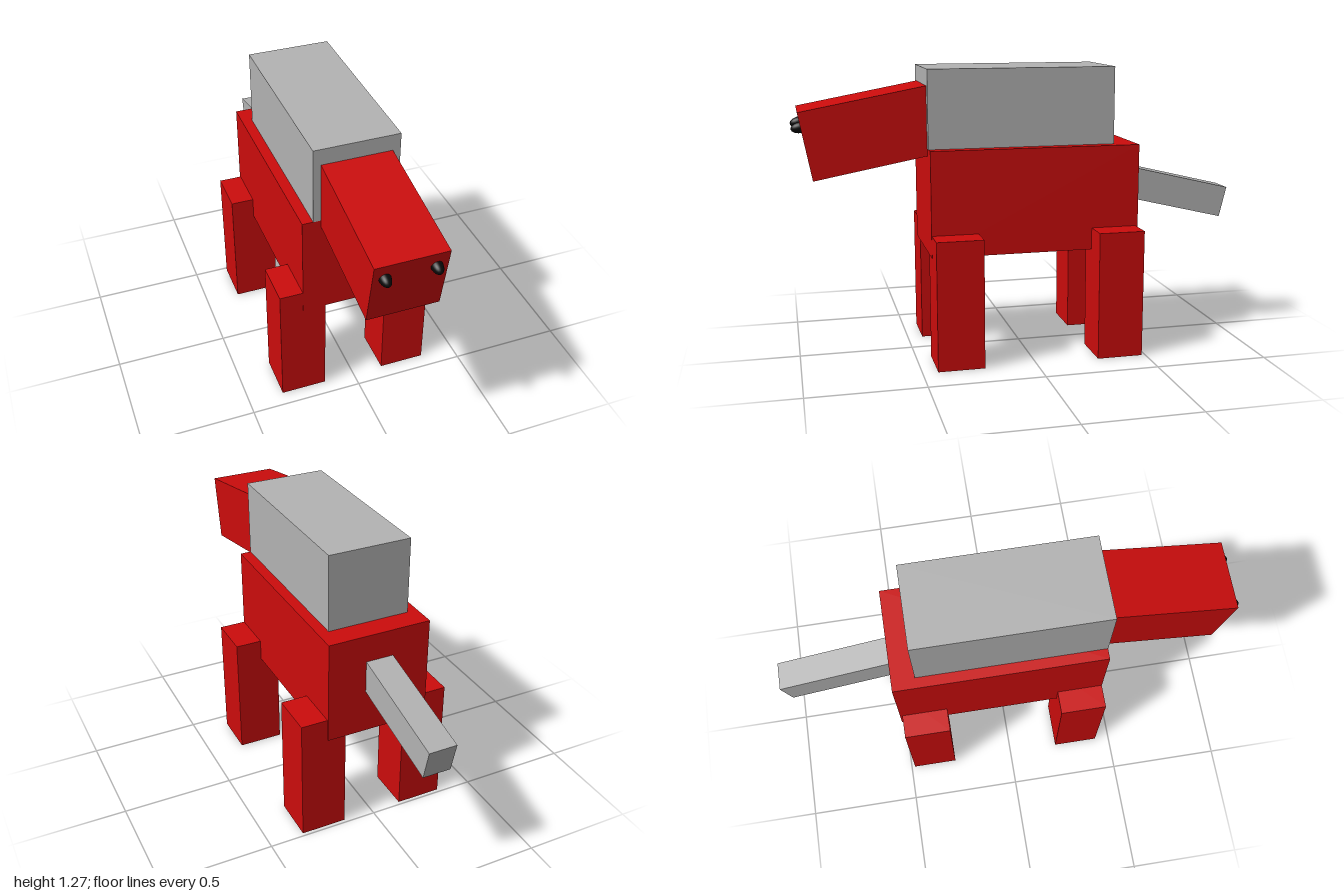
import * as THREE from 'three';

export function createModel() {
  const model = new THREE.Group();
  const material = (name, color) => {
    const m = new THREE.MeshStandardMaterial({ color });
    m.name = name;
    return m;
  };
  const red = material('red', 0xcc0c0c);
  const grey = material('grey', 0xb3b3b3);
  const black = material('black', 0x080808);

  const add = (name, geometry, mat, x, y, z) => {
    const mesh = new THREE.Mesh(geometry, mat);
    mesh.name = name;
    mesh.position.set(x, y, z);
    model.add(mesh);
    return mesh;
  };

  // Box given by its lower and upper corners
  const block = (name, mat, [x0, y0, z0], [x1, y1, z1]) =>
    add(name, new THREE.BoxGeometry(x1 - x0, y1 - y0, z1 - z0), mat,
      (x0 + x1) / 2, (y0 + y1) / 2, (z0 + z1) / 2);

  // Tilted box whose outer end face is centred at (x, y, z); dir is +1 forward, -1 back
  const limb = (name, mat, width, height, length, x, y, z, dir, tilt) => {
    const geometry = new THREE.BoxGeometry(width, height, length);
    geometry.translate(0, 0, -dir * length / 2);
    add(name, geometry, mat, x, y, z).rotation.x = dir * tilt;
  };

  // Body and the pack on its back
  block('body', red, [-0.24, 0.47, -0.494], [0.224, 0.932, 0.434]);
  block('backPack', grey, [-0.193, 0.932, -0.392], [0.175, 1.272, 0.435]);

  // Legs
  for (const [side, sx] of [['left', 1], ['right', -1]]) {
    for (const [end, z0] of [['Front', 0.229], ['Back', -0.484]]) {
      const x = sx * 0.241;
      block(side + end + 'Leg', red, [x - 0.102, 0, z0], [x + 0.102, 0.567, z0 + 0.204]);
    }
  }

  // Drooping head and tail
  limb('head', red, 0.302, 0.295, 0.6, -0.009, 0.955, 0.944, 1, 0.185);
  limb('tail', grey, 0.124, 0.142, 0.55, -0.009, 0.62, -0.982, -1, 0.237);

  // Eyes bulging from the face
  for (const [name, x] of [['leftEye', 0.094], ['rightEye', -0.111]]) {
    const eye = add(name, new THREE.SphereGeometry(0.024, 24, 16), black, x, 1.034, 0.956);
    eye.scale.z = 1.8;
    eye.rotation.x = 0.185;
  }

  return model;
}
